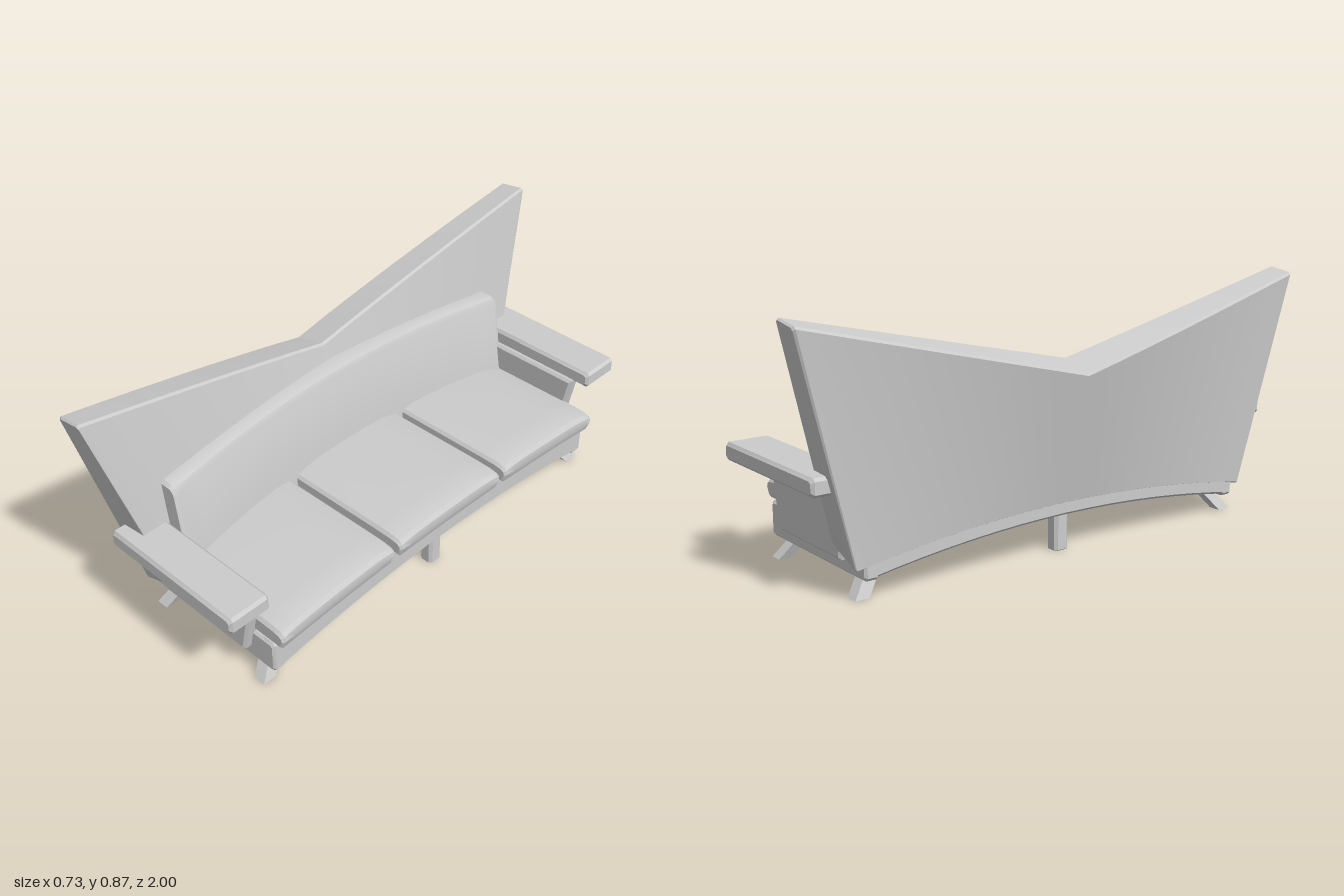
import * as THREE from 'three';
import { toCreasedNormals } from 'three/addons/utils/BufferGeometryUtils.js';

const material = new THREE.MeshStandardMaterial({ color: 0xcccccc });

// Cut every corner of a closed loop by distance c
function chamfer(loop, c) {
  const out = [];
  loop.forEach((p, i) => {
    for (const q of [loop.at(i - 1), loop[(i + 1) % loop.length]]) {
      const d = q.clone().sub(p);
      out.push(p.clone().addScaledVector(d, c / d.length()));
    }
  });
  return out;
}

const centre = (loop) => loop.reduce((s, p) => s.add(p), new THREE.Vector3()).divideScalar(loop.length);

// Pull a loop in toward its centre by about d on each axis, keeping z
function inset(loop, d) {
  const c = centre(loop);
  const size = new THREE.Box3().setFromPoints(loop).getSize(new THREE.Vector3());
  const kx = 1 - 2 * d / size.x, ky = 1 - 2 * d / size.y;
  return loop.map((p) => new THREE.Vector3(c.x + (p.x - c.x) * kx, c.y + (p.y - c.y) * ky, p.z));
}

// Skin cross-sections (counter-clockwise seen from the last one), capped at both ends
function loft(sections, crease = 0.5) {
  const n = sections[0].length, pos = [], index = [];
  sections.forEach((s) => s.forEach((p) => pos.push(p.x, p.y, p.z)));
  for (let i = 0; i < sections.length - 1; i++) {
    for (let j = 0; j < n; j++) {
      const k = (j + 1) % n;
      const a = i * n + j, b = i * n + k, c = b + n, d = a + n;
      index.push(a, b, c, a, c, d);
    }
  }
  const last = (sections.length - 1) * n, first = sections.length * n;
  for (const s of [sections[0], sections.at(-1)]) {
    const c = centre(s);
    pos.push(c.x, c.y, c.z);
  }
  for (let j = 0; j < n; j++) {
    const k = (j + 1) % n;
    index.push(first, k, j, first + 1, last + j, last + k);
  }
  const g = new THREE.BufferGeometry();
  g.setAttribute('position', new THREE.Float32BufferAttribute(pos, 3));
  g.setIndex(index);
  return toCreasedNormals(g, crease);
}

// Sections along z from z0 to z1; profile(z) gives [x, y] points, ends bevelled by d
function sweep(profile, z0, z1, steps, c, d) {
  const at = (z, zPlace = z) => {
    const loop = profile(z).map(([x, y]) => new THREE.Vector3(x, y, zPlace));
    return c ? chamfer(loop, c) : loop;
  };
  const sections = [inset(at(z0), d)];
  for (let i = 0; i <= steps; i++) {
    sections.push(at(THREE.MathUtils.lerp(z0 + d, z1 - d, i / steps)));
  }
  sections.push(inset(at(z1), d));
  return loft(sections);
}

const rect = (x0, x1, y0, y1) => [[x0, y0], [x1, y0], [x1, y1], [x0, y1]];
const arch = (z, half = 0.77) => Math.max(0, 1 - (z / half) ** 2);

export function createModel() {
  const sofa = new THREE.Group();
  sofa.name = 'sofa';
  const add = (name, geometry) => {
    const mesh = new THREE.Mesh(geometry, material);
    mesh.name = name;
    sofa.add(mesh);
    return mesh;
  };

  // Flared, V-topped back panel
  const panelSection = (t) => {
    const u = Math.abs(t), bow = u ** 1.5, a = 0.07 * (1 - t * t);
    return chamfer([
      new THREE.Vector3(-0.26, 0.095 + a, 0.8 * t),
      new THREE.Vector3(-0.13 + 0.015 * bow, 0.15 + a, 0.8 * t),
      new THREE.Vector3(-0.235 + 0.035 * bow, 0.65 + 0.22 * u, t),
      new THREE.Vector3(-0.365 + 0.065 * bow, 0.615 + 0.24 * u, t),
    ], 0.008);
  };
  const panel = [];
  for (let i = -8; i <= 8; i++) panel.push(panelSection(i / 8 * 0.994));
  panel.unshift(inset(panelSection(-1), 0.007));
  panel.push(inset(panelSection(1), 0.007));
  add('backPanel', loft(panel, 0.3));

  // Arched front and rear rails
  for (const [name, x0, x1] of [['frontRail', 0.27, 0.325], ['rearRail', -0.26, -0.205]]) {
    add(name, sweep((z) => rect(x0, x1, 0.062 + 0.066 * arch(z), 0.18 + 0.04 * arch(z)), -0.77, 0.77, 16, 0.008, 0.008));
  }

  // Three domed seat cushions
  const seats = [['rightSeatCushion', -0.765, -0.272], ['middleSeatCushion', -0.248, 0.248], ['leftSeatCushion', 0.272, 0.765]];
  for (const [name, z0, z1] of seats) {
    const seat = (z) => {
      const y = 0.18 + 0.04 * arch(z);
      const side = Math.abs(2 * (z - z0) / (z1 - z0) - 1);
      const h = 0.083 - 0.016 * side ** 6;
      return [[-0.16, 0], [0.352, 0], [0.365, 0.035], [0.362, 0.58 * h + 0.012],
        [0.35, 0.9 * h], [0.32, 0.98 * h], [0.26, h], [-0.16, 0.95 * h]].map(([px, py]) => [px, y + py]);
    };
    add(name, sweep(seat, z0, z1, 12, 0, 0.01));
  }

  // Long curved back cushion
  const backCushion = (z) => {
    const a = arch(z, 0.765), b = 1 - a;
    return [[-0.17 + 0.04 * b, 0.22], [-0.12 + 0.065 * b, 0.22], [-0.155 + 0.048 * b, 0.52 + 0.045 * a],
      [-0.163 + 0.048 * b, 0.535 + 0.045 * a], [-0.178 + 0.048 * b, 0.543 + 0.045 * a], [-0.235 + 0.055 * b, 0.543 + 0.045 * a]];
  };
  add('backCushion', sweep(backCushion, -0.765, 0.765, 18, 0, 0.012));

  for (const [side, s] of [['left', 1], ['right', -1]]) {
    const span = (a, b) => (s > 0 ? [a, b] : [-b, -a]);

    // End rail, tapered arm panel and arm pad
    add(side + 'EndRail', sweep(() => rect(-0.26, 0.325, 0.062, 0.18), ...span(0.72, 0.77), 1, 0.01, 0.008));
    add(side + 'ArmPanel', sweep(() => [[-0.16, 0.11], [0.22, 0.11], [0.267, 0.35], [-0.21, 0.35]], ...span(0.75, 0.8), 1, 0, 0.009));
    add(side + 'ArmPad', sweep(() => rect(-0.238, 0.325, 0.34, 0.4), ...span(0.77, 0.925), 1, 0.01, 0.01));

    // Splayed corner legs, leaning outward toward the floor
    for (const [end, x, lean] of [['Front', 0.238, 0.032], ['Rear', -0.175, -0.034]]) {
      const g = new THREE.BoxGeometry(0.045, 0.075, 0.05);
      const p = g.attributes.position;
      for (let i = 0; i < p.count; i++) {
        const low = p.getY(i) < 0 ? 1 : 0;
        p.setXYZ(i, p.getX(i) + x + lean * low, p.getY(i) + 0.0375, p.getZ(i) + s * (0.705 + 0.06 * low));
      }
      g.computeVertexNormals();
      add(side + end + 'Leg', g);
    }
  }

  // Straight middle legs
  for (const [name, x] of [['middleFrontLeg', 0.275], ['middleRearLeg', -0.21]]) {
    const g = sweep(() => rect(x - 0.026, x + 0.026, -0.028, 0.028), 0, 0.14, 1, 0.01, 0.003);
    g.rotateX(-Math.PI / 2);
    add(name, g);
  }

  return sofa;
}
